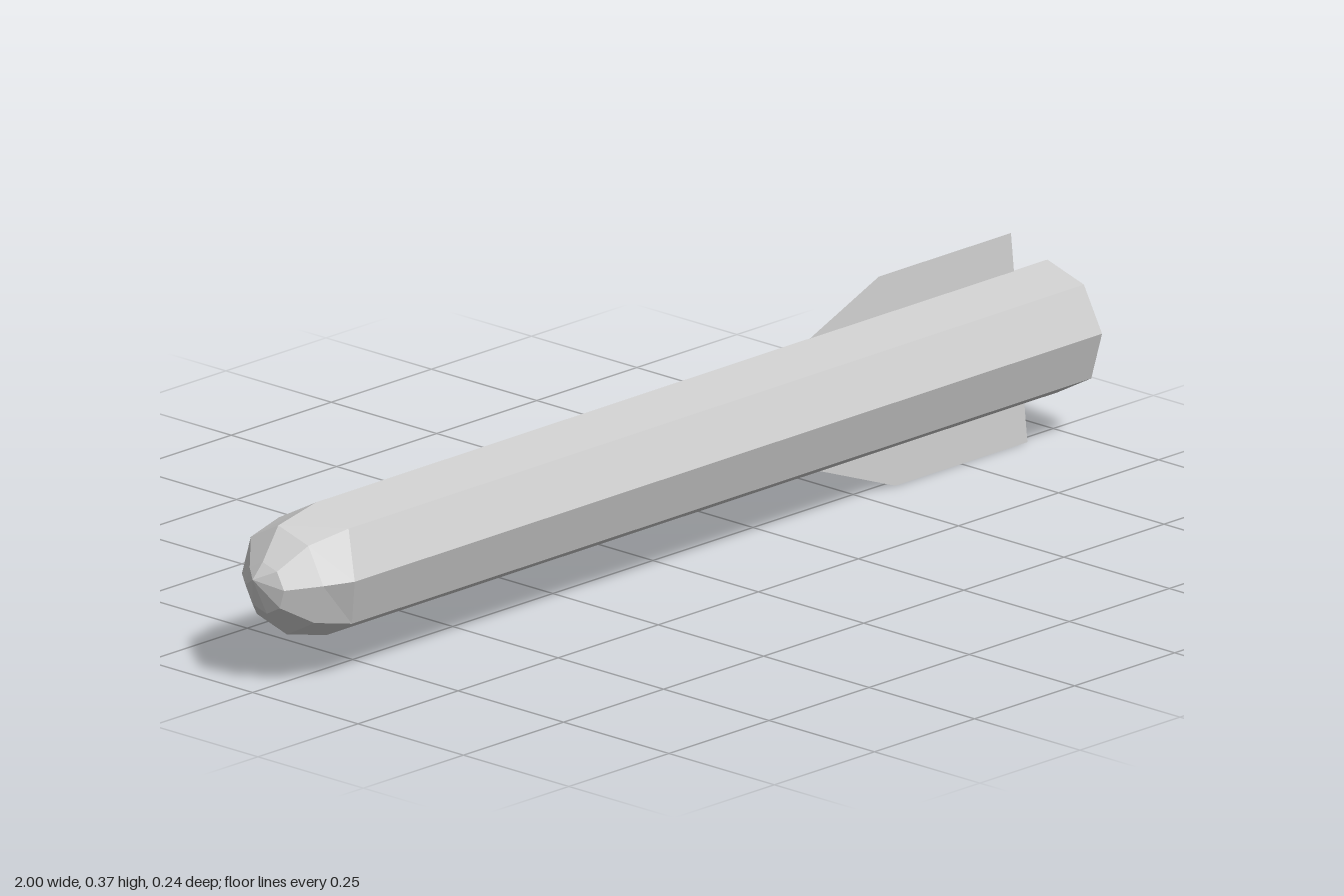
import * as THREE from 'three';

const SIDES = 8;
const AXIS_Y = 0.186;
const TILT = -0.105; // roll of the hull and fins about the long axis

// Closed faceted skin through cross-sections running from nose to tail
function hullGeometry(rings) {
  const pos = [];
  const point = (ring, k) => {
    const a = TILT + ((k % SIDES) / SIDES) * Math.PI * 2;
    const x = ring.xs ? ring.xs[k % SIDES] : ring.x;
    return [x, ring.y + ring.r * Math.cos(a), ring.z + ring.r * Math.sin(a)];
  };
  for (let i = 0; i < rings.length - 1; i++) {
    for (let k = 0; k < SIDES; k++) {
      const a = point(rings[i], k), b = point(rings[i], k + 1);
      const c = point(rings[i + 1], k + 1), d = point(rings[i + 1], k);
      if (rings[i].r > 0) pos.push(...a, ...b, ...c);
      if (rings[i + 1].r > 0) pos.push(...a, ...c, ...d);
      if (rings[i].r === 0) continue;
    }
  }
  const g = new THREE.BufferGeometry();
  g.setAttribute('position', new THREE.Float32BufferAttribute(pos, 3));
  g.computeVertexNormals();
  return g;
}

export function createModel() {
  const group = new THREE.Group();
  const hullMat = new THREE.MeshStandardMaterial({ color: 0xcccccc, flatShading: true });
  const finMat = new THREE.MeshStandardMaterial({ color: 0xcccccc, side: THREE.DoubleSide });

  // Blunt, slightly uneven nose
  const shoulder = {
    xs: [-0.83, -0.84, -0.87, -0.85, -0.83, -0.84, -0.85, -0.84],
    y: 0.185, z: 0.0015, r: 0.118,
  };
  const nose = new THREE.Mesh(hullGeometry([
    { x: -1, y: 0.205, z: 0, r: 0 },
    { x: -0.978, y: 0.187, z: 0.008, r: 0.046 },
    { x: -0.925, y: 0.187, z: 0, r: 0.097 },
    shoulder,
  ]), hullMat);
  nose.name = 'nose';

  // Octagonal body with a flat tail
  const tail = { x: 1, y: 0.1865, z: -0.0015, r: 0.118 };
  const body = new THREE.Mesh(hullGeometry([shoulder, tail, { ...tail, r: 0 }]), hullMat);
  body.name = 'body';
  group.add(nose, body);

  // Thin swept fins, above and below
  const outline = new THREE.Shape([
    [0.4, 0.116], [0.915, 0.116], [0.915, 0.186], [0.585, 0.186],
  ].map(([x, y]) => new THREE.Vector2(x, y)));
  const finGeo = new THREE.ShapeGeometry(outline);
  ['upperFin', 'lowerFin'].forEach((name, i) => {
    const fin = new THREE.Mesh(finGeo, finMat);
    fin.name = name;
    fin.position.y = AXIS_Y;
    fin.rotation.x = TILT + i * Math.PI;
    group.add(fin);
  });

  return group;
}
